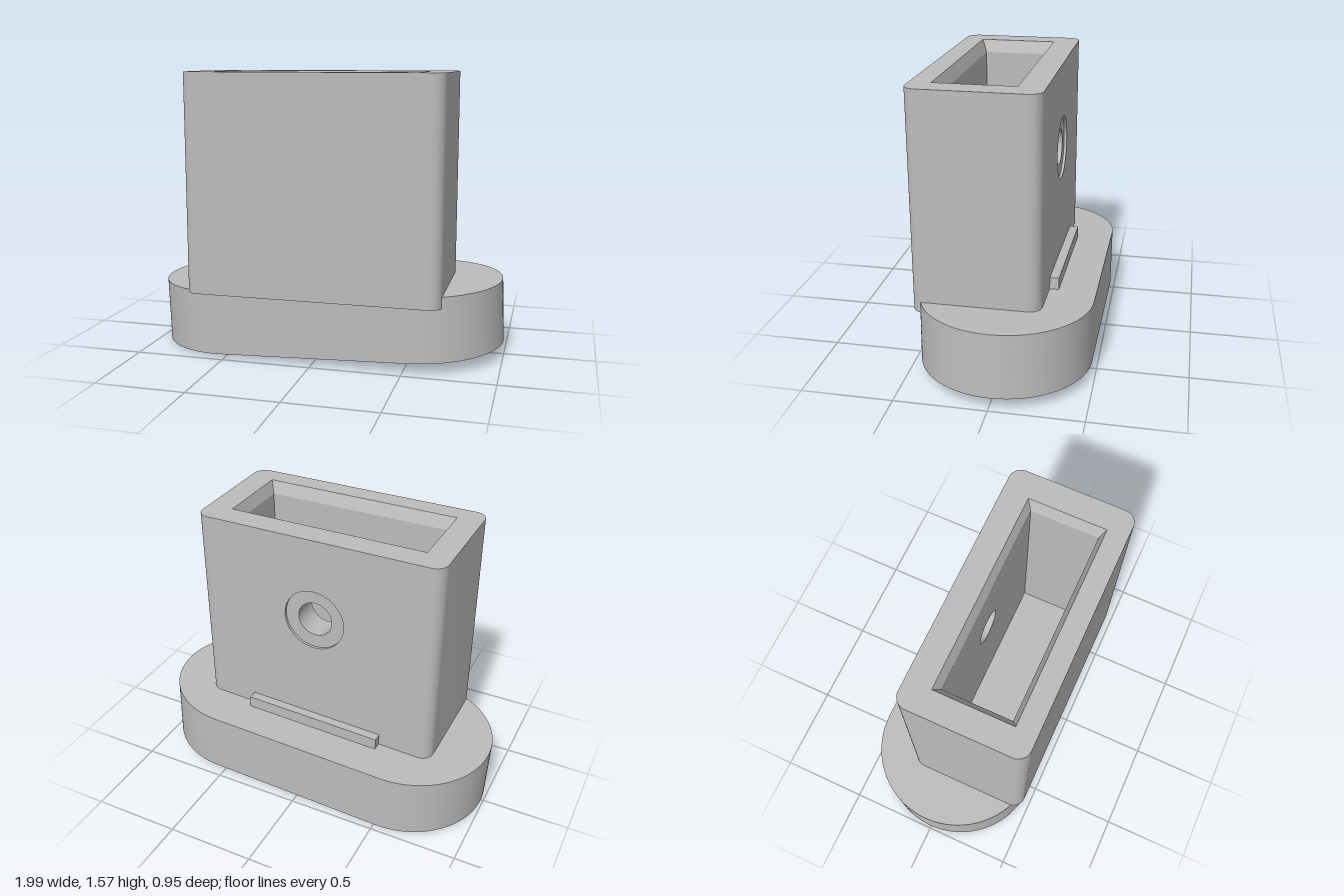
import * as THREE from 'three';
import { toCreasedNormals } from 'three/addons/utils/BufferGeometryUtils.js';

const grey = new THREE.MeshStandardMaterial({ color: 0xbcbcbc });
grey.name = 'plain grey';

function part(name, geometry, parent) {
  const mesh = new THREE.Mesh(geometry, grey);
  mesh.name = name;
  parent.add(mesh);
  return mesh;
}

function extrude(shape, depth) {
  const g = new THREE.ExtrudeGeometry(shape, { depth, bevelEnabled: false, curveSegments: 32 });
  return toCreasedNormals(g, 0.6);
}

// Plan shapes are drawn with shape y = -z and extruded upwards from y0 to y1
function slab(shape, y0, y1) {
  return extrude(shape, y1 - y0).rotateX(-Math.PI / 2).translate(0, y0, 0);
}

function circle(x, y, r) {
  return new THREE.Path().absarc(x, y, r, 0, Math.PI * 2, false);
}

function rect(x0, x1, y0, y1, Type = THREE.Shape) {
  return new Type([[x0, y0], [x1, y0], [x1, y1], [x0, y1]].map(p => new THREE.Vector2(...p)));
}

function stadium(half, r) {
  const s = new THREE.Shape();
  s.absarc(half - r, 0, r, -Math.PI / 2, Math.PI / 2, false);
  s.absarc(r - half, 0, r, Math.PI / 2, Math.PI * 1.5, false);
  s.closePath();
  return s;
}

// Tower footprint, cavity and mouth in x and z
const T = { x0: -0.72, x1: 0.70, z0: -0.219, z1: 0.477, r: 0.07 };
const C = { x0: -0.54, x1: 0.53, z0: -0.048, z1: 0.333 };
const M = { x0: -0.578, x1: 0.556, z0: -0.076, z1: 0.362 };
const BOTTOM = 0.365, FLOOR = 0.45, LIP = 1.51, TOP = 1.58;

// Rounded footprint; with a slot, the cavity is cut out through the back
function footprint(slot) {
  const { x0, x1, z0, z1, r } = T, H = Math.PI / 2;
  const s = new THREE.Shape();
  s.absarc(x0 + r, -z0 - r, r, H, 2 * H, false);
  s.absarc(x0 + r, -z1 + r, r, 2 * H, 3 * H, false);
  s.absarc(x1 - r, -z1 + r, r, 3 * H, 4 * H, false);
  s.absarc(x1 - r, -z0 - r, r, 0, H, false);
  if (slot) {
    s.lineTo(C.x1, -z0);
    s.lineTo(C.x1, -C.z1);
    s.lineTo(C.x0, -C.z1);
    s.lineTo(C.x0, -z0);
  }
  s.closePath();
  return s;
}

// Four sloping faces leading from the mouth down into the cavity
function chamfer() {
  const loop = (b, y) => [[b.x0, y, b.z0], [b.x1, y, b.z0], [b.x1, y, b.z1], [b.x0, y, b.z1]];
  const upper = loop(M, TOP), lower = loop(C, LIP), pos = [];
  for (let i = 0; i < 4; i++) {
    const j = (i + 1) % 4;
    pos.push(...upper[i], ...lower[i], ...lower[j], ...upper[i], ...lower[j], ...upper[j]);
  }
  const g = new THREE.BufferGeometry();
  g.setAttribute('position', new THREE.Float32BufferAttribute(pos, 3));
  g.computeVertexNormals();
  return g;
}

export function createModel() {
  const model = new THREE.Group();
  model.name = 'tiltedSocket';

  // Tilted foot with two blind holes underneath
  const foot = new THREE.Group();
  foot.name = 'foot';
  foot.position.set(0.005, 0.043, -0.008);
  foot.rotation.z = 0.0375;
  model.add(foot);
  const thickness = 0.357, holeDepth = 0.25;
  const drilled = stadium(0.991, 0.469);
  for (const side of [-1, 1]) drilled.holes.push(circle(side * 0.47, 0, 0.117));
  part('footLower', slab(drilled, 0, holeDepth), foot);
  part('footUpper', slab(stadium(0.991, 0.469), holeDepth, thickness), foot);

  // Small ledge behind the tower, tilted with the foot
  const ledge = part('ledge', new THREE.BoxGeometry(0.81, 0.09, 0.09), foot);
  ledge.position.set(-0.001, thickness + 0.022, -0.217);

  // Hollow tower
  const tower = new THREE.Group();
  tower.name = 'tower';
  model.add(tower);
  part('towerFloor', slab(footprint(false), BOTTOM, FLOOR), tower);
  part('towerWalls', slab(footprint(true), FLOOR, LIP), tower);

  // Back wall with a through hole and a shallow round recess
  const recess = 0.015;
  const layers = [['backWallOuter', 0.177, T.z0, T.z0 + recess], ['backWallInner', 0.1, T.z0 + recess, C.z0]];
  for (const [name, radius, z0, z1] of layers) {
    const wall = rect(C.x0, C.x1, FLOOR, LIP);
    wall.holes.push(circle(-0.01, 1.1, radius));
    part(name, extrude(wall, z1 - z0).translate(0, 0, z0), tower);
  }

  // Rim and chamfered mouth
  const rim = footprint(false);
  rim.holes.push(rect(M.x0, M.x1, -M.z1, -M.z0, THREE.Path));
  part('rim', slab(rim, LIP, TOP), tower);
  part('mouthChamfer', chamfer(), tower);

  return model;
}
